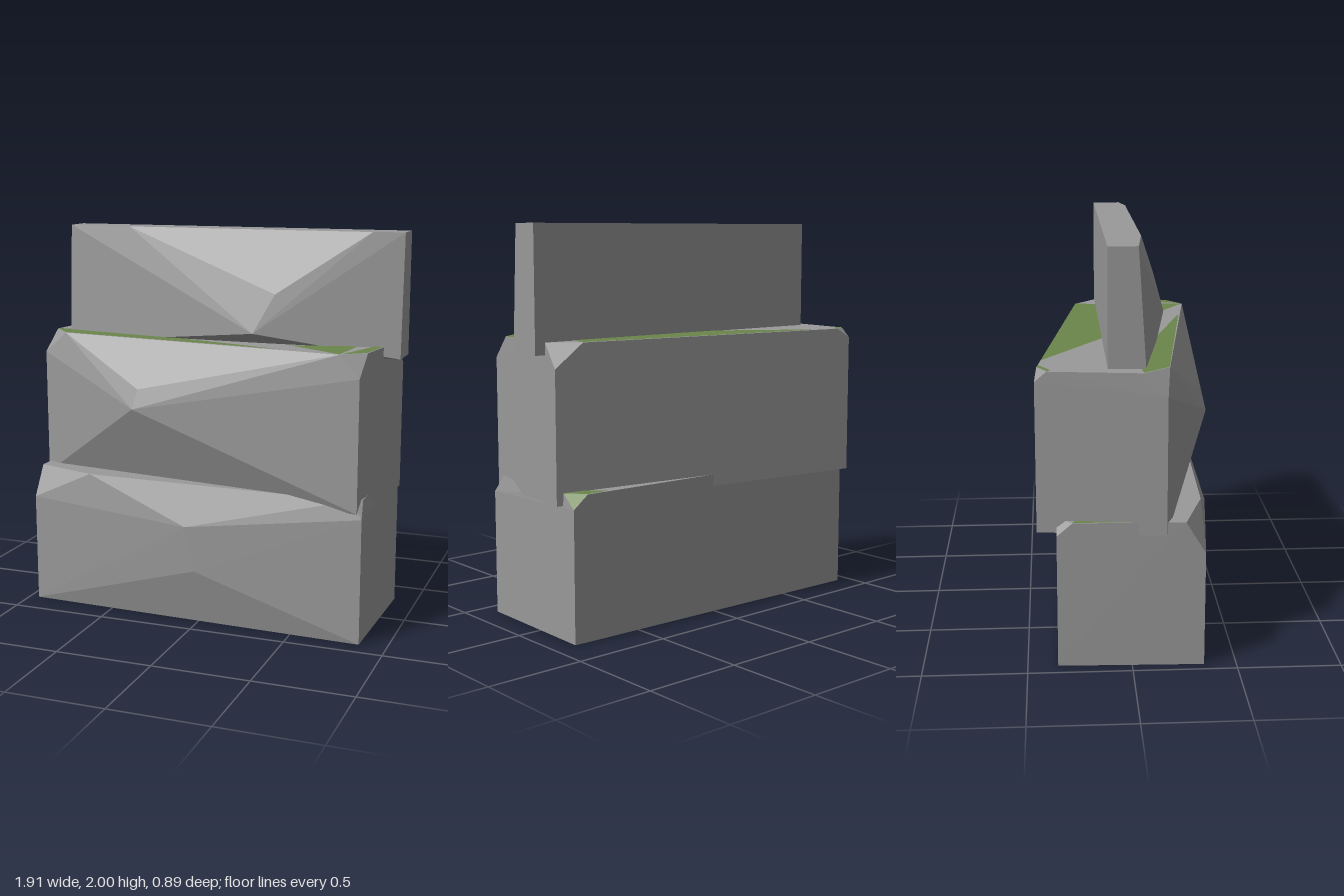
import * as THREE from 'three';
import { ConvexGeometry } from 'three/addons/geometries/ConvexGeometry.js';

const V = (p) => new THREE.Vector3(...p);

export function createModel() {
  const stone = new THREE.MeshStandardMaterial({ color: 0x999999 });
  stone.name = 'stone';
  const moss = new THREE.MeshStandardMaterial({ color: 0x6b8549 });
  moss.name = 'moss';
  const group = new THREE.Group();
  group.name = 'stackedStones';

  const add = (name, geometry, material) => {
    const mesh = new THREE.Mesh(geometry, material);
    mesh.name = name;
    group.add(mesh);
  };
  // A faceted stone block: the hull of its corners
  const slab = (name, points) => add(name, new ConvexGeometry(points.map(V)), stone);
  // A flat moss patch lying on a stone's top, outlined in x, z
  const patch = (name, y, outline) => {
    const shape = new THREE.Shape(outline.map(([x, z]) => new THREE.Vector2(x, -z)));
    const geometry = new THREE.ShapeGeometry(shape);
    geometry.rotateX(-Math.PI / 2).translate(0, y + 0.002, 0);
    add(name, geometry, moss);
  };

  // Bottom stone, with chipped top corners and a bulging front
  slab('bottomStone', [
    [-0.95, 0, 0.345], [0.86, 0, 0.405], [0.88, 0, -0.3], [-0.93, 0, -0.355],
    [0, 0.29, 0.445], [-0.05, 0.52, 0.445],
    [-0.95, 0.57, 0.345], [-0.95, 0.725, 0.25], [-0.62, 0.725, 0.355],
    [0.86, 0.64, 0.405], [0.8, 0.725, 0.385], [0.85, 0.725, 0.34],
    [0.88, 0.66, -0.3], [0.8, 0.725, -0.303], [0.873, 0.725, -0.21],
    [-0.93, 0.66, -0.355], [-0.85, 0.725, -0.353], [-0.932, 0.725, -0.28],
  ]);

  // Middle stone, turned slightly
  slab('middleStone', [
    [-0.96, 0.665, 0.16], [0.835, 0.665, 0.405], [0.91, 0.665, -0.205], [-0.88, 0.665, -0.447],
    [-0.35, 1.1, 0.405], [-0.33, 1.2, 0.375],
    [-0.96, 1.33, 0.16], [-0.943, 1.44, 0.05], [-0.83, 1.44, 0.178],
    [0.835, 1.33, 0.405], [0.73, 1.44, 0.39], [0.847, 1.44, 0.3],
    [0.91, 1.32, -0.205], [0.76, 1.44, -0.225], [0.898, 1.44, -0.11],
    [-0.88, 1.39, -0.447], [-0.8, 1.44, -0.436], [-0.887, 1.44, -0.39],
  ]);

  // Thin top stone, flat behind and bulging in front
  slab('topStone', [
    [-0.855, 1.38, -0.11], [0.955, 1.38, -0.11], [-0.855, 2, -0.11], [0.955, 2, -0.11],
    [-0.855, 2, 0.03], [-0.5, 2, 0.065], [0.8, 2, 0.065], [0.955, 2, 0.035],
    [-0.855, 1.38, 0.07], [0.955, 1.38, 0.07], [0.24, 1.38, 0.085],
    [0.24, 1.495, 0.24], [0.34, 1.69, 0.19],
  ]);

  // Moss on the middle stone
  patch('middleBackMoss', 1.44, [[-0.67, -0.417], [0.755, -0.225], [0.74, -0.1], [-0.18, -0.1]]);
  patch('middleCornerMoss', 1.44, [[-0.8, -0.435], [-0.76, -0.43], [-0.87, -0.37], [-0.885, -0.388]]);
  patch('middleFrontMoss', 1.44, [[-0.83, 0.176], [-0.94, 0.05], [-0.8, 0.04], [-0.2, 0.16], [0.42, 0.34]]);
  patch('middleRightMoss', 1.44, [[0.42, 0.2], [0.75, 0.11], [0.73, 0.387]]);
  patch('middleEdgeMoss', 1.44, [[0.83, 0.08], [0.872, 0.08], [0.846, 0.3], [0.74, 0.38]]);

  // Moss on the bottom stone
  patch('bottomLeftMoss', 0.725, [[-0.931, -0.28], [-0.7, -0.2], [-0.8, 0.05], [-0.94, 0.06]]);
  patch('bottomBackMoss', 0.725, [[0.68, -0.302], [0.8, -0.302], [0.872, -0.21], [0.868, -0.1], [0.78, -0.2]]);
  const chip = [[0.8, 0.725, -0.303], [0.873, 0.725, -0.21], [0.88, 0.66, -0.3]];
  const chipGeometry = new THREE.BufferGeometry().setFromPoints(chip.map(V));
  chipGeometry.computeVertexNormals();
  chipGeometry.translate(0.002, 0.002, -0.002);
  add('bottomChipMoss', chipGeometry, moss);

  return group;
}
